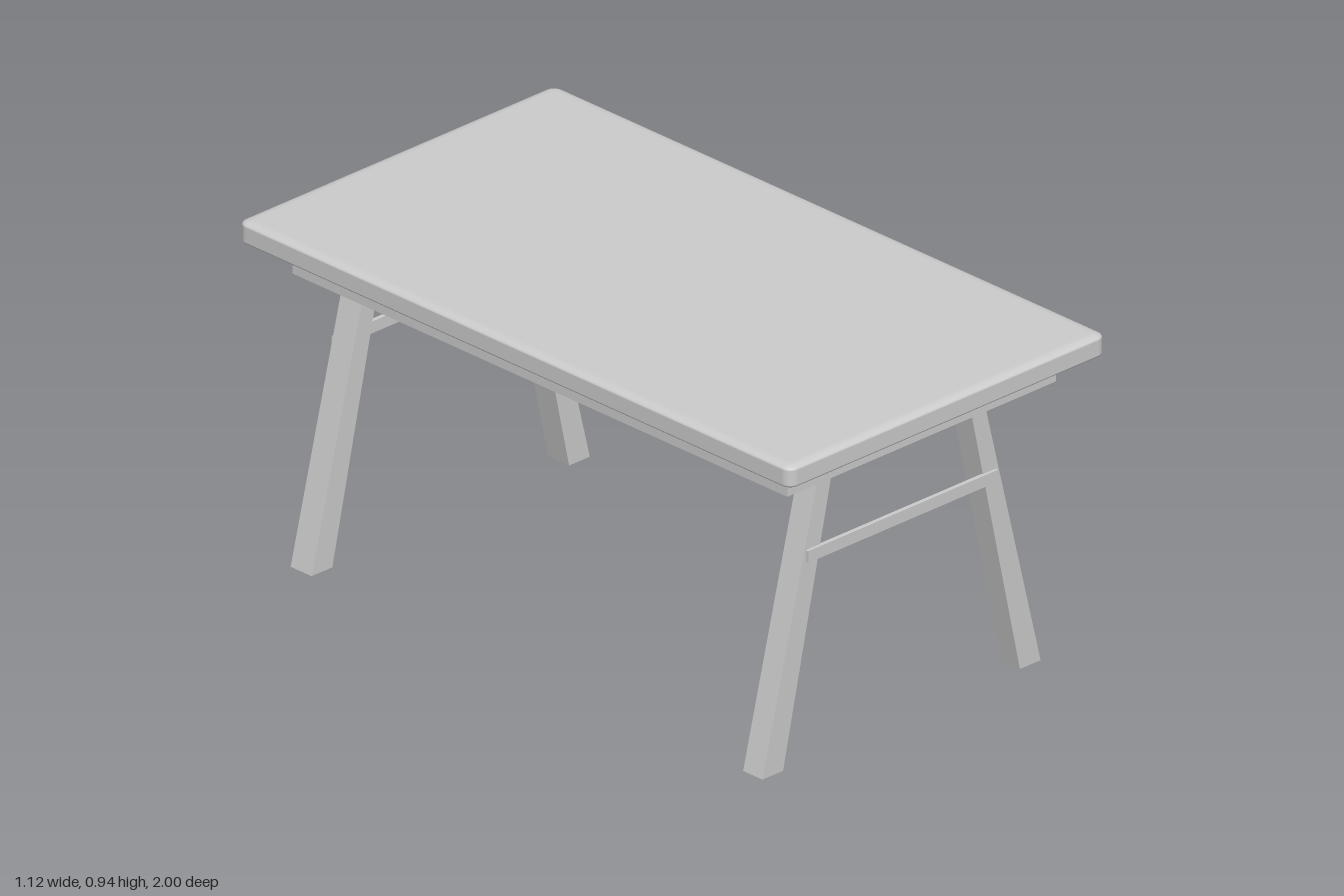
import * as THREE from 'three';
import { RoundedBoxGeometry } from 'three/addons/geometries/RoundedBoxGeometry.js';

const material = new THREE.MeshStandardMaterial({ color: 0xcccccc });

function addMesh(parent, name, geometry, x = 0, y = 0, z = 0) {
  const mesh = new THREE.Mesh(geometry, material);
  mesh.name = name;
  mesh.position.set(x, y, z);
  parent.add(mesh);
  return mesh;
}

// Splayed leg that tapers towards the top; side is +1 (left) or -1 (right)
function legGeometry(side, depth) {
  const outline = [[0.418, 0], [0.491, 0], [0.272, 0.876], [0.225, 0.876]];
  const shape = new THREE.Shape(outline.map(([x, y]) => new THREE.Vector2(side * x, y)));
  return new THREE.ExtrudeGeometry(shape, { depth, bevelEnabled: false }).translate(0, 0, -depth / 2);
}

export function createModel() {
  const table = new THREE.Group();
  table.name = 'table';

  // Top slab: rounded corners, with the edge rounding flattened vertically
  const slab = new RoundedBoxGeometry(1.12, 0.1625, 2, 4, 0.03).scale(1, 0.4, 1);
  addMesh(table, 'tableTop', slab, 0, 0.9075, 0);

  // Apron: four thin boards, open underneath
  const apron = new THREE.Group();
  apron.name = 'apron';
  apron.position.set(-0.002, 0.839, 0.01);
  table.add(apron);
  const w = 0.948, d = 1.79, h = 0.078, t = 0.008;
  for (const s of [1, -1]) {
    addMesh(apron, s > 0 ? 'frontApron' : 'backApron', new THREE.BoxGeometry(w, h, t), 0, 0, s * (d - t) / 2);
    addMesh(apron, s > 0 ? 'leftApron' : 'rightApron', new THREE.BoxGeometry(t, h, d - 2 * t), s * (w - t) / 2, 0, 0);
  }

  // Two leg frames, each with a pair of legs and a slat on the outer face
  const ends = [
    { name: 'front', z: 0.82, depth: 0.07, out: 1 },
    { name: 'back', z: -0.814, depth: 0.076, out: -1 },
  ];
  for (const { name, z, depth, out } of ends) {
    const frame = new THREE.Group();
    frame.name = name + 'LegFrame';
    frame.position.set(-0.024, 0, z);
    table.add(frame);
    addMesh(frame, name + 'LeftLeg', legGeometry(1, depth));
    addMesh(frame, name + 'RightLeg', legGeometry(-1, depth));
    addMesh(frame, name + 'Stretcher', new THREE.BoxGeometry(0.67, 0.033, 0.012), -0.003, 0.577, out * (depth / 2 + 0.003));
  }

  return table;
}
